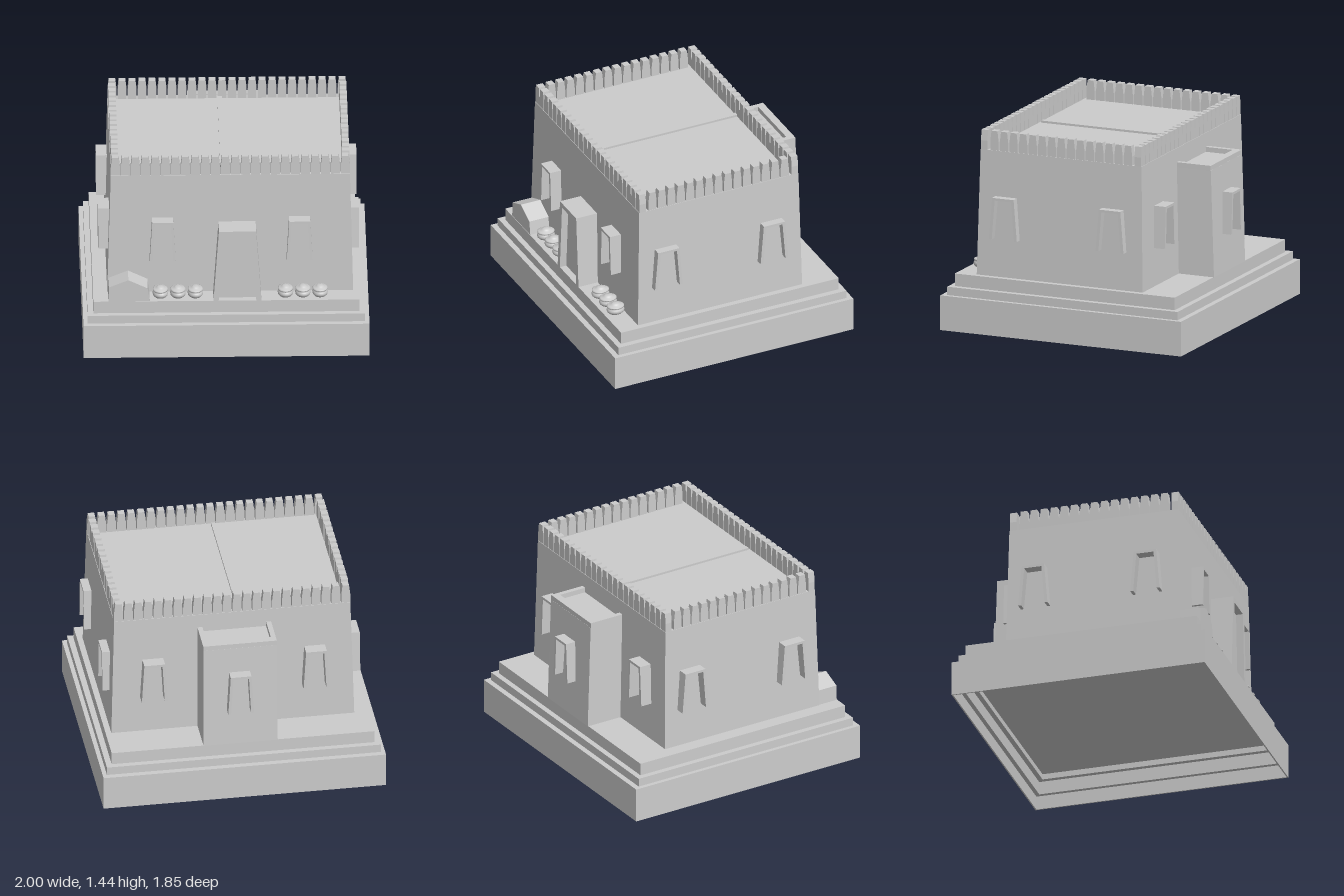
import * as THREE from 'three';

const material = new THREE.MeshStandardMaterial({ color: 0xcccccc });

function add(parent, name, geometry, x = 0, y = 0, z = 0, rotY = 0) {
  const mesh = new THREE.Mesh(geometry, material);
  mesh.name = name;
  mesh.position.set(x, y, z);
  mesh.rotation.y = rotY;
  parent.add(mesh);
  return mesh;
}

// Box given by its limits
function block(parent, name, x0, x1, y0, y1, z0, z1) {
  return add(parent, name, new THREE.BoxGeometry(x1 - x0, y1 - y0, z1 - z0),
    (x0 + x1) / 2, (y0 + y1) / 2, (z0 + z1) / 2);
}

// Block with a separate footprint [x0, x1, z0, z1] at bottom and top
function battered(parent, name, y0, y1, bottom, top) {
  const geometry = new THREE.BoxGeometry(1, 1, 1);
  const p = geometry.attributes.position;
  for (let i = 0; i < p.count; i++) {
    const f = p.getY(i) > 0 ? top : bottom;
    p.setXYZ(i, p.getX(i) > 0 ? f[1] : f[0], p.getY(i) > 0 ? y1 : y0, p.getZ(i) > 0 ? f[3] : f[2]);
  }
  geometry.computeVertexNormals();
  return add(parent, name, geometry);
}

function extrude(points, depth) {
  const shape = new THREE.Shape(points.map(([x, y]) => new THREE.Vector2(x, y)));
  return new THREE.ExtrudeGeometry(shape, { depth, bevelEnabled: false });
}

// Horizontal rectangular ring, extruded upwards
function ring(parent, name, outer, inner, y0, y1) {
  const rect = ([x0, x1, z0, z1]) => [[x0, -z1], [x1, -z1], [x1, -z0], [x0, -z0]].map(([x, y]) => new THREE.Vector2(x, y));
  const shape = new THREE.Shape(rect(outer));
  shape.holes.push(new THREE.Path(rect(inner).reverse()));
  const geometry = new THREE.ExtrudeGeometry(shape, { depth: y1 - y0, bevelEnabled: false });
  geometry.rotateX(-Math.PI / 2);
  return add(parent, name, geometry, 0, y0, 0);
}

// Trapezoid surround, open at the bottom
function surround(wBottom, wTop, height, jamb, lintel, depth) {
  const b = wBottom / 2, t = wTop / 2;
  return extrude([[-b, 0], [-b + jamb, 0], [-t + jamb * 0.9, height - lintel], [t - jamb * 0.9, height - lintel],
    [b - jamb, 0], [b, 0], [t, height], [-t, height]], depth);
}

export function createModel() {
  const model = new THREE.Group();
  model.name = 'mudBrickHouse';

  // Stepped platform, hollow underneath
  const platform = new THREE.Group();
  platform.name = 'platform';
  model.add(platform);
  const foot = [-1, 1, -0.925, 0.925];
  const inset = (d) => [-1 + d, 1 - d, -0.925 + d, 0.925 - d];
  ring(platform, 'lowerPlinthRing', foot, inset(0.01), 0, 0.1);
  ring(platform, 'middlePlinthRing', foot, inset(0.04), 0.1, 0.195);
  ring(platform, 'upperPlinthRing', foot, inset(0.075), 0.195, 0.235);
  block(platform, 'plinthTop', -1, 1, 0.235, 0.25, -0.925, 0.925);
  block(platform, 'lowerStep', -0.97, 0.97, 0.25, 0.31, -0.885, 0.885);
  block(platform, 'upperStep', -0.93, 0.93, 0.31, 0.4, -0.845, 0.845);

  // Main house with sloping walls
  battered(model, 'houseWalls', 0.4, 1.3, [-0.83, 0.89, -0.58, 0.695], [-0.805, 0.868, -0.562, 0.675]);
  block(model, 'roofBeam', -0.037, -0.005, 1.29, 1.315, -0.51, 0.61);

  // Crenellated parapet
  const parapet = new THREE.Group();
  parapet.name = 'parapet';
  model.add(parapet);
  const merlon = extrude([[-0.032, 0], [0.032, 0], [0.032, 0.065], [0.023, 0.14], [-0.023, 0.14], [-0.032, 0.065]], 0.05);
  merlon.translate(0, 0, -0.025);
  const xFirst = -0.773, xLast = 0.836, zFront = 0.643, zBack = -0.53;
  for (let i = 0; i < 24; i++) {
    const x = xFirst + (xLast - xFirst) * i / 23;
    add(parapet, 'frontMerlon', merlon, x, 1.3, zFront + 0.004);
    add(parapet, 'backMerlon', merlon, x, 1.3, zBack - 0.004);
  }
  for (let i = 1; i < 16; i++) {
    const z = zFront + (zBack - zFront) * i / 16;
    add(parapet, 'leftMerlon', merlon, xLast + 0.004, 1.3, z, Math.PI / 2);
    add(parapet, 'rightMerlon', merlon, xFirst - 0.004, 1.3, z, Math.PI / 2);
  }

  // Rear annex with a sunken roof
  battered(model, 'annexWalls', 0.4, 1.165, [-0.245, 0.28, -0.85, -0.5], [-0.243, 0.278, -0.825, -0.5]);
  ring(model, 'annexRim', [-0.243, 0.278, -0.824, -0.52], [-0.208, 0.243, -0.77, -0.54], 1.165, 1.2);

  // Window surrounds: x, z of the outer face and facing angle
  const windowFrame = surround(0.182, 0.147, 0.3, 0.02, 0.018, 0.1);
  const sideFrame = surround(0.215, 0.165, 0.3, 0.022, 0.018, 0.1);
  windowFrame.translate(0, 0, -0.1);
  sideFrame.translate(0, 0, -0.1);
  const q = Math.PI / 2;
  for (const x of [-0.443, 0.515]) add(model, 'frontWindow', windowFrame, x, 0.675, 0.768);
  for (const x of [-0.55, 0.595]) add(model, 'backWindow', windowFrame, x, 0.675, -0.657, Math.PI);
  add(model, 'annexWindow', windowFrame, 0.023, 0.675, -0.907, Math.PI);
  for (const z of [0.475, -0.345]) add(model, 'leftWindow', sideFrame, 0.932, 0.675, z, q);
  for (const z of [0.455, -0.365]) add(model, 'rightWindow', sideFrame, -0.89, 0.675, z, -q);

  // Doorway with recessed door
  const doorX = 0.078;
  add(model, 'doorSurround', surround(0.335, 0.26, 0.54, 0.036, 0.035, 0.185), doorX, 0.4, 0.66);
  add(model, 'door', extrude([[-0.14, 0], [0.14, 0], [0.105, 0.515], [-0.105, 0.515]], 0.135), doorX, 0.4, 0.66);

  // Low gabled bin beside the door
  add(model, 'gabledBin', extrude([[-0.825, 0], [-0.535, 0], [-0.55, 0.1], [-0.685, 0.165], [-0.82, 0.11]], 0.18), 0, 0.4, 0.662);

  // Rows of lidded pots
  const pot = new THREE.LatheGeometry([[0, 0], [0.042, 0], [0.052, 0.012], [0.055, 0.025], [0.05, 0.038], [0.044, 0.044],
    [0.052, 0.048], [0.053, 0.055], [0.046, 0.06], [0.03, 0.063], [0.026, 0.07], [0.015, 0.075], [0, 0.076]]
    .map(([r, y]) => new THREE.Vector2(r, y)), 24);
  pot.scale(1, 1, 1.18);
  for (const x of [-0.46, -0.337, -0.215, 0.415, 0.537, 0.657]) add(model, 'pot', pot, x, 0.4, 0.757);

  return model;
}
